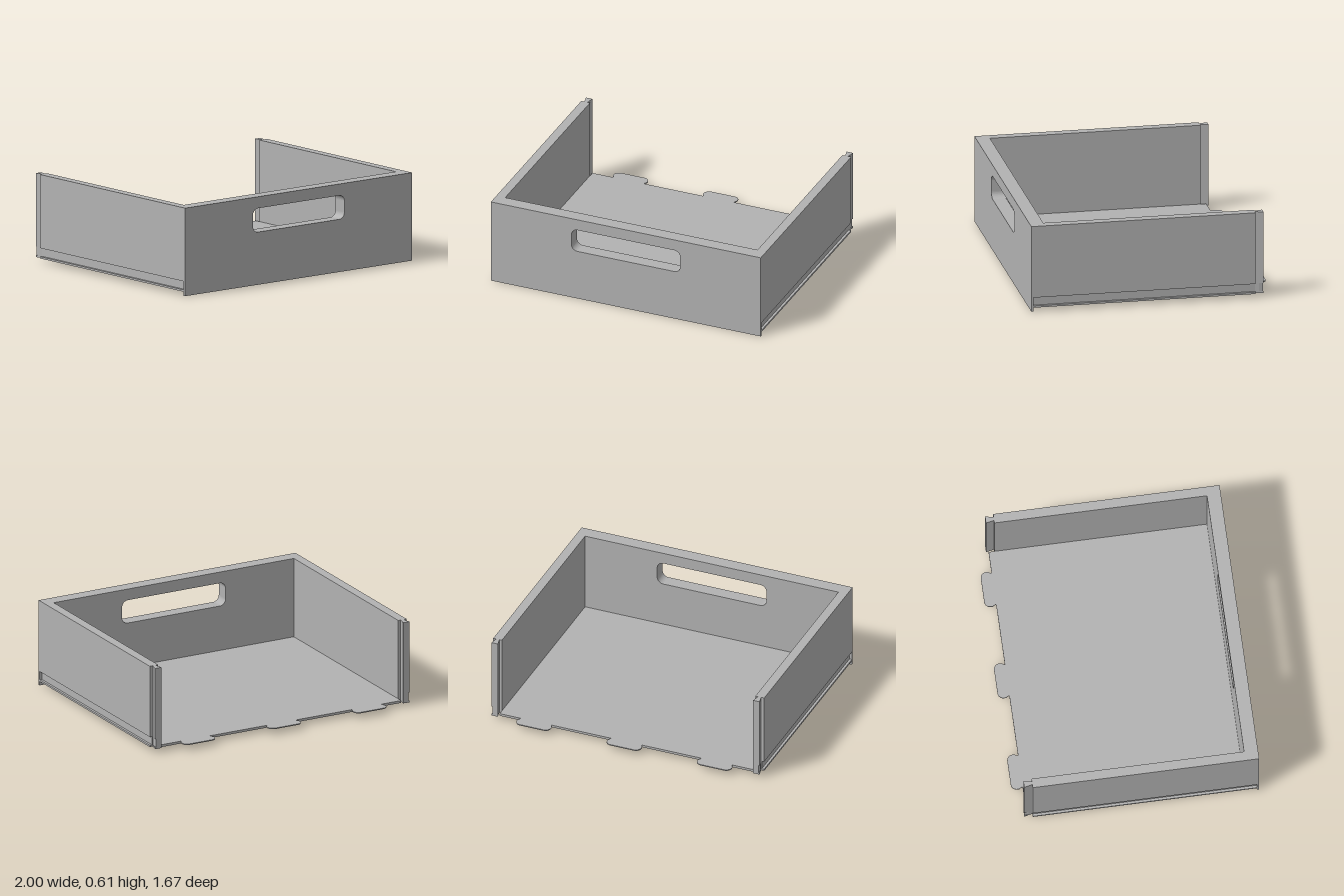
import * as THREE from 'three';

const FLOOR_Y = 0.028, FLOOR_TOP = 0.045, TOP = 0.61;
const INNER_X = 0.935, BACK = -0.72, FRONT = 0.835, SKIN = 0.82, FRONT_IN = 0.74;

export function createModel() {
  const group = new THREE.Group();
  const grey = new THREE.MeshStandardMaterial({ color: 0xb2b2b2 });
  grey.name = 'grey plastic';

  const add = (name, geometry) => {
    const mesh = new THREE.Mesh(geometry, grey);
    mesh.name = name;
    group.add(mesh);
  };
  const polygon = (pts, s = 1) => new THREE.Shape(pts.map(([x, y]) => new THREE.Vector2(x * s, y)));
  // Extrude an (x, y) outline along z
  const alongZ = (shape, z0, z1) =>
    new THREE.ExtrudeGeometry(shape, { depth: z1 - z0, bevelEnabled: false, curveSegments: 8 }).translate(0, 0, z0);
  // Extrude an (x, -z) outline upwards
  const alongY = (shape, y0, y1) =>
    new THREE.ExtrudeGeometry(shape, { depth: y1 - y0, bevelEnabled: false, curveSegments: 8 })
      .rotateX(-Math.PI / 2).translate(0, y0, 0);

  // Rounded slot used as the hand hole
  const slot = () => {
    const p = new THREE.Path(), w = 0.403, a = 0.365, b = 0.53, r = 0.045;
    p.moveTo(-w + r, a);
    p.lineTo(w - r, a);
    p.absarc(w - r, a + r, r, -Math.PI / 2, 0);
    p.absarc(w - r, b - r, r, 0, Math.PI / 2);
    p.absarc(-w + r, b - r, r, Math.PI / 2, Math.PI);
    p.absarc(-w + r, a + r, r, Math.PI, Math.PI * 1.5);
    return p;
  };
  const panel = (w, y0) => {
    const shape = polygon([[-w, y0], [w, y0], [w, TOP], [-w, TOP]]);
    shape.holes.push(slot());
    return shape;
  };

  // Front: thin outer skin with a lip below the floor, thick core behind it
  add('frontSkin', alongZ(panel(1, 0), SKIN, FRONT));
  add('frontCore', alongZ(panel(INNER_X, FLOOR_Y), FRONT_IN, SKIN));

  // Floor
  add('floor', alongZ(polygon([
    [-INNER_X, FLOOR_Y], [INNER_X, FLOOR_Y], [INNER_X, FLOOR_TOP], [-INNER_X, FLOOR_TOP],
  ]), -0.76, FRONT_IN));

  for (const s of [1, -1]) {
    const side = s > 0 ? 'left' : 'right';

    // Side wall with a runner groove near the bottom
    add(side + 'Wall', alongZ(polygon([
      [INNER_X, FLOOR_Y], [1, FLOOR_Y], [1, 0.041], [0.983, 0.041],
      [0.983, 0.1], [1, 0.1], [1, TOP], [INNER_X, TOP],
    ], s), BACK, SKIN));

    // Dovetail on the rear edge, trimmed where the groove passes
    const full = [[0.954, 0.72], [0.977, 0.72], [0.99, 0.777], [0.942, 0.777]];
    const trimmed = [[0.954, 0.72], [0.977, 0.72], [0.983, 0.747], [0.983, 0.777], [0.942, 0.777]];
    add(side + 'Dovetail', alongY(polygon(full, s), 0.1, TOP));
    add(side + 'DovetailTrimmed', alongY(polygon(trimmed, s), 0.041, 0.1));
    add(side + 'DovetailFoot', alongY(polygon(full, s), FLOOR_Y, 0.041));
  }

  // Rounded joining tabs along the rear edge of the floor
  for (const x of [-0.667, 0, 0.667]) {
    const tab = new THREE.Shape(), w = 0.126, r = 0.04, end = 0.838;
    tab.moveTo(x - 0.115, 0.755);
    tab.lineTo(x + 0.115, 0.755);
    tab.lineTo(x + 0.115, 0.767);
    tab.lineTo(x + w, 0.785);
    tab.absarc(x + w - r, end - r, r, 0, Math.PI / 2);
    tab.absarc(x - w + r, end - r, r, Math.PI / 2, Math.PI);
    tab.lineTo(x - w, 0.785);
    tab.lineTo(x - 0.115, 0.767);
    add('tab', alongY(tab, 0.038, FLOOR_TOP));
    add('tabRib', alongY(polygon([
      [x - 0.1, 0.755], [x + 0.1, 0.755], [x + 0.1, 0.8], [x - 0.1, 0.8],
    ]), FLOOR_Y, 0.038));
  }
  return group;
}
